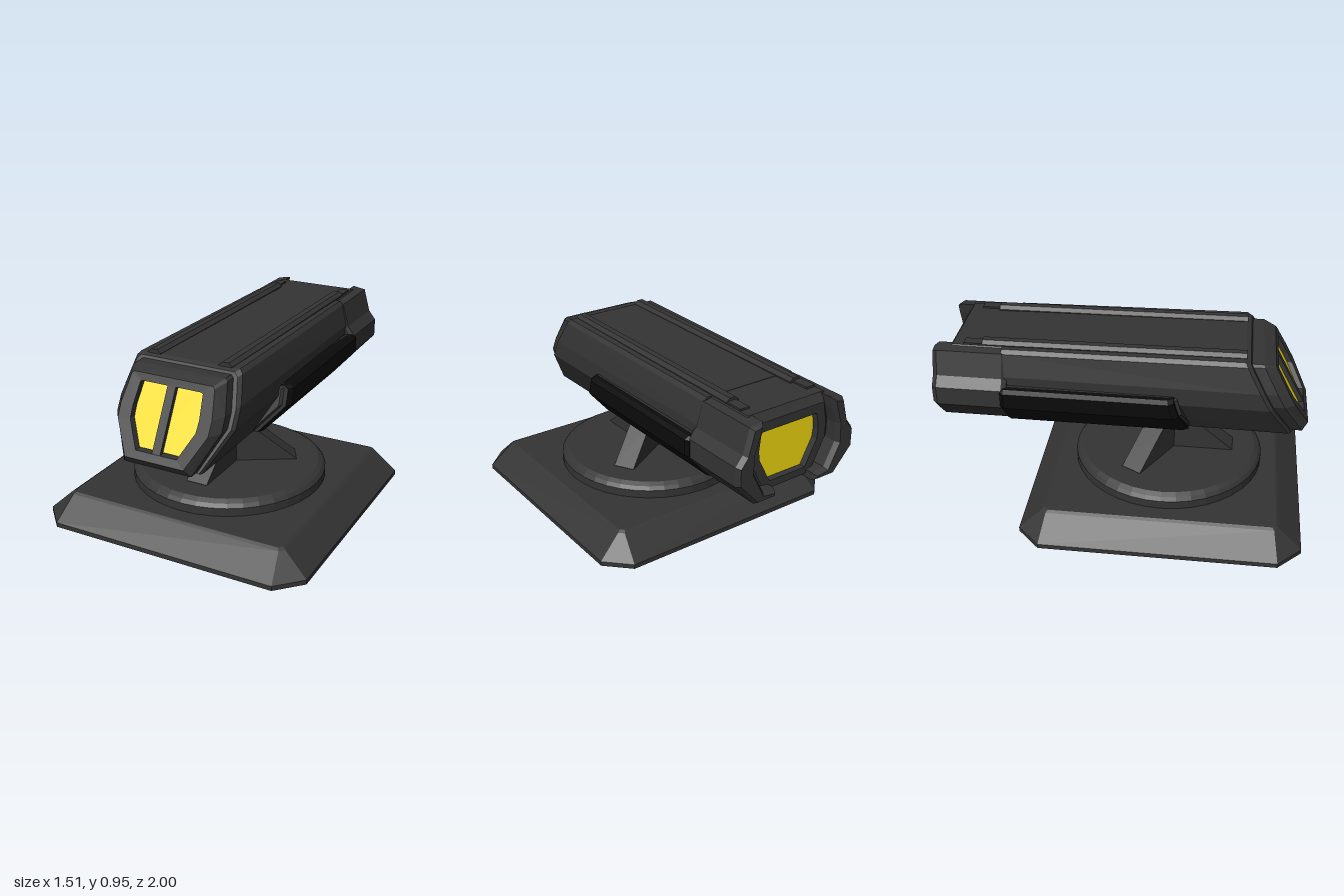
import * as THREE from 'three';

const mat = (color) => new THREE.MeshStandardMaterial({ color, flatShading: true });
const dark = mat(0x343434), black = mat(0x0b0b0b), yellow = mat(0xf5dc10);
const CZ = 0.245; // centre of the base along z

// Mirrors a right-hand half profile (top to bottom) into a closed ring; z may depend on y
function ring(half, z) {
  const zf = typeof z === 'function' ? z : () => z;
  const left = half.map(([x, y]) => [-x, y]).reverse();
  return [...half, ...left].map(([x, y]) => [x, y, zf(y)]);
}

// Skins rings from front to back and caps both ends
function loft(rings) {
  const pos = [], idx = [], n = rings[0].length;
  rings.forEach((r) => r.forEach((p) => pos.push(...p)));
  for (let k = 0; k < rings.length - 1; k++) {
    for (let i = 0; i < n; i++) {
      const a = k * n + i, b = k * n + (i + 1) % n;
      idx.push(a, b, b + n, a, b + n, a + n);
    }
  }
  const e = (rings.length - 1) * n;
  for (let i = 1; i < n - 1; i++) idx.push(0, i + 1, i, e, e + i, e + i + 1);
  const g = new THREE.BufferGeometry();
  g.setAttribute('position', new THREE.Float32BufferAttribute(pos, 3));
  g.setIndex(idx);
  const flat = g.toNonIndexed();
  flat.computeVertexNormals();
  return flat;
}

const shapeOf = (pts) => new THREE.Shape(pts.map(([x, y]) => new THREE.Vector2(x, y)));

export function createModel() {
  const model = new THREE.Group();
  const add = (name, geo, material = dark, parent = model) => {
    const m = new THREE.Mesh(geo, material);
    m.name = name;
    parent.add(m);
    return m;
  };

  // Square base with cut corners and sloping sides
  const octagon = (h, c, y) => ring([[h - c, h], [h, h - c], [h, c - h], [h - c, -h]], y);
  const base = add('base', loft([octagon(0.615, 0.02, 0.15), octagon(0.63, 0.025, 0.14),
    octagon(0.755, 0.125, 0.025), octagon(0.755, 0.125, 0)]).rotateX(-Math.PI / 2));
  base.position.z = CZ;

  // Turntable
  const profile = [[0, 0.14], [0.53, 0.14], [0.53, 0.195], [0.515, 0.215], [0.49, 0.23], [0, 0.23]];
  add('turntable', new THREE.LatheGeometry(profile.map(([x, y]) => new THREE.Vector2(x, y)), 40)).position.z = CZ;

  // Three-legged stand
  const legShape = shapeOf([[0, 0.22], [0.365, 0.22], [0.365, 0.232], [0.14, 0.415], [0, 0.415]]);
  for (let i = 0; i < 3; i++) {
    const geo = new THREE.ExtrudeGeometry(legShape, { depth: 0.12, bevelEnabled: false }).translate(0, 0, -0.06);
    const leg = add('standLeg', geo);
    leg.rotation.y = -Math.PI / 2 + i * Math.PI * 2 / 3;
    leg.position.z = CZ;
  }
  add('standHub', new THREE.CylinderGeometry(0.135, 0.135, 0.06, 12)).position.set(0, 0.43, CZ);
  add('mountPlate', new THREE.CylinderGeometry(0.2, 0.19, 0.03, 24)).position.set(0, 0.464, CZ);

  // Main hull with a raked front
  const rake = (offset) => (y) => 0.91 - (y - 0.47) * 0.547 + offset;
  const hullFront = [[0.28, 0.935], [0.3, 0.915], [0.33, 0.78], [0.33, 0.68], [0.21, 0.47]];
  const hullLip = [[0.265, 0.925], [0.285, 0.905], [0.315, 0.775], [0.315, 0.685], [0.2, 0.475]];
  const hullBack = [[0.27, 0.92], [0.29, 0.9], [0.32, 0.78], [0.32, 0.68], [0.2, 0.48]];
  add('hull', loft([ring(hullLip, rake(0.01)), ring(hullFront, rake(-0.01)), ring(hullBack, -0.63)]));

  // Nose frame around a sunken window
  const noseBack = [[0.25, 0.912], [0.265, 0.9], [0.295, 0.76], [0.295, 0.685], [0.19, 0.483]];
  const noseRim = [[0.22, 0.89], [0.232, 0.88], [0.255, 0.75], [0.253, 0.68], [0.165, 0.525]];
  const opening = [[0.165, 0.855], [0.175, 0.85], [0.187, 0.74], [0.184, 0.685], [0.115, 0.56]];
  add('noseFrame', loft([ring(opening, rake(0.08)), ring(opening, rake(0.12)), ring(noseRim, rake(0.123)),
    ring(noseBack, rake(0.07)), ring(noseBack, rake(-0.02))]));
  const pane = opening.map(([x, y]) => [x * 0.97, 0.7 + (y - 0.7) * 0.97]);
  add('frontWindow', loft([ring(pane, rake(0.092)), ring(pane, rake(0.07))]), yellow);
  const bar = [[0.023, 0.86], [0.023, 0.555]];
  add('windowBar', loft([ring(bar, rake(0.118)), ring(bar, rake(0.07))]));

  // Rear core with a sunken window
  const core = [[0.24, 0.918], [0.25, 0.905], [0.28, 0.78], [0.28, 0.68], [0.17, 0.485]];
  const coreRim = [[0.21, 0.875], [0.22, 0.865], [0.24, 0.76], [0.24, 0.68], [0.15, 0.505]];
  const rearOpening = [[0.17, 0.825], [0.18, 0.815], [0.19, 0.73], [0.185, 0.68], [0.115, 0.545]];
  add('rearCore', loft([ring(core, -0.6), ring(core, -0.9), ring(coreRim, -0.93),
    ring(rearOpening, -0.93), ring(rearOpening, -0.885)]));
  add('rearWindow', loft([ring(rearOpening, -0.86), ring(rearOpening, -0.895)]), yellow);

  // Parts on both sides, built on the left and mirrored
  for (const side of [1, -1]) {
    const half = new THREE.Group();
    half.name = side > 0 ? 'leftSide' : 'rightSide';
    half.scale.x = side;
    model.add(half);

    // Bracket wrapping the rear end
    const bracket = shapeOf([[0.235, 0.9], [0.28, 0.89], [0.315, 0.765], [0.355, 0.715], [0.355, 0.625],
      [0.245, 0.503], [0.14, 0.503], [0.14, 0.515], [0.21, 0.525], [0.28, 0.66], [0.275, 0.77], [0.245, 0.86]]);
    const bracketGeo = new THREE.ExtrudeGeometry(bracket,
      { depth: 0.35, bevelThickness: 0.025, bevelSize: 0.016, bevelSegments: 1 });
    add('rearBracket', bracketGeo, dark, half).position.z = -0.975;

    // Armoured side pod: inner shell and black outer cover
    const pod = (w, z) => [[0.28, 0.73], [0.365 - w, 0.73], [0.39 - w, 0.715], [0.39 - w, 0.63],
      [0.25 - w, 0.473], [0.15, 0.473]].map(([x, y]) => [x, y, typeof z === 'number' ? z : z(y)]);
    const slant = (offset) => (y) => 0.27 + (0.73 - y) * 0.31 + offset;
    add('podShell', loft([pod(0.055, slant(0.03)), pod(0.03, slant(0.0)), pod(0.03, -0.64)]), dark, half);
    add('podCover', loft([pod(0.02, slant(0.015)), pod(0, slant(-0.015)), pod(0, -0.61), pod(0.015, -0.63)]), black, half);

    // Roof rail and its rear clip
    const rail = shapeOf([[0.165, -0.03], [0.24, -0.03], [0.24, 0.002], [0.22, 0.02], [0.185, 0.02], [0.165, 0.002]]);
    const railMesh = add('roofRail', new THREE.ExtrudeGeometry(rail, { depth: 1.39, bevelEnabled: false })
      .translate(0, 0, -1.39), dark, half);
    railMesh.position.set(0, 0.935, 0.65);
    railMesh.rotation.x = -0.009;
    add('railClip', new THREE.BoxGeometry(0.055, 0.03, 0.1), dark, half).position.set(0.21, 0.913, -0.79);
  }
  return model;
}
